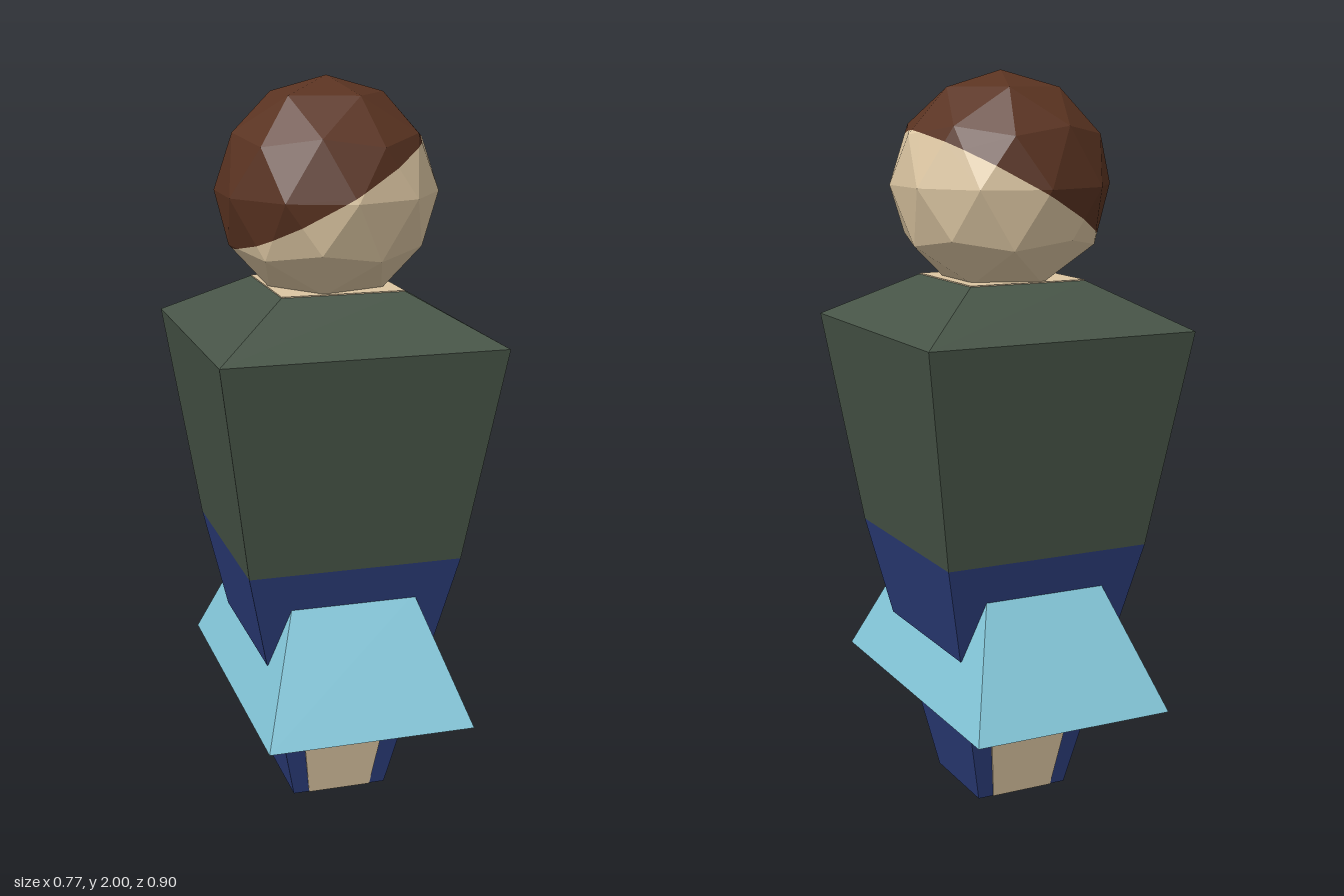
import * as THREE from 'three';

const mat = (name, color) => {
  const m = new THREE.MeshStandardMaterial({ color });
  m.name = name;
  return m;
};

// Flat-shaded geometry from a list of Vector3 triangle corners
function facets(points) {
  const g = new THREE.BufferGeometry().setFromPoints(points);
  g.computeVertexNormals();
  return g;
}

// Square-cornered loft through sections [y, halfX, halfZ], listed bottom to top
function loft(sections) {
  const rings = sections.map(([y, hx, hz]) =>
    [[1, 1], [1, -1], [-1, -1], [-1, 1]].map(([sx, sz]) => new THREE.Vector3(sx * hx, y, sz * hz)));
  const points = [];
  const quad = (a, b, c, d) => points.push(a, b, c, a, c, d);
  for (let i = 0; i < rings.length - 1; i++) {
    const lo = rings[i], hi = rings[i + 1];
    for (let k = 0; k < 4; k++) {
      const n = (k + 1) % 4;
      quad(lo[k], lo[n], hi[n], hi[k]);
    }
  }
  quad(...rings[rings.length - 1]);
  quad(...[...rings[0]].reverse());
  return facets(points);
}

// The part of a faceted shape on the positive side of a plane
function clip(geometry, plane) {
  const pos = geometry.getAttribute('position');
  const points = [];
  for (let i = 0; i < pos.count; i += 3) {
    const tri = [0, 1, 2].map((k) => new THREE.Vector3().fromBufferAttribute(pos, i + k));
    const kept = [];
    tri.forEach((a, k) => {
      const b = tri[(k + 1) % 3];
      const da = plane.distanceToPoint(a), db = plane.distanceToPoint(b);
      if (da >= 0) kept.push(a);
      if (da * db < 0) kept.push(a.clone().lerp(b, da / (da - db)));
    });
    for (let k = 1; k < kept.length - 1; k++) points.push(kept[0], kept[k], kept[k + 1]);
  }
  return facets(points);
}

export function createModel() {
  const skin = mat('skin', 0xdcc6a2);
  const hair = mat('brown hair', 0x5a3321);
  const green = mat('dark green cloth', 0x475447);
  const navy = mat('navy cloth', 0x2b3c79);
  const sky = mat('light blue cloth', 0x86cadd);

  const model = new THREE.Group();
  model.name = 'figure';
  const add = (name, geometry, material, y = 0) => {
    const mesh = new THREE.Mesh(geometry, material);
    mesh.name = name;
    mesh.position.y = y;
    model.add(mesh);
  };

  // Legs, with a skin-coloured strip from front to back
  add('legs', loft([[0, 0.135, 0.135], [0.32, 0.203, 0.203]]), navy);
  add('legStrip', loft([[-0.002, 0.09, 0.138], [0.28, 0.128, 0.202]]), skin, 0.002);

  // Flared skirt
  add('skirt', loft([[0.3, 0.285, 0.452], [0.63, 0.172, 0.267]]), sky);

  // Hips, jacket and the neck opening
  add('hips', loft([[0.455, 0.235, 0.235], [0.73, 0.295, 0.295]]), navy);
  add('jacket', loft([[0.73, 0.295, 0.295], [1.325, 0.384, 0.384], [1.448, 0.17, 0.17]]), green);
  add('neck', loft([[1.446, 0.168, 0.168], [1.451, 0.168, 0.168]]), skin);

  // Faceted head, pole upwards, split by a slanted hairline
  const ball = new THREE.IcosahedronGeometry(0.3, 1);
  ball.rotateX(-Math.atan((1 + Math.sqrt(5)) / 2));
  ball.rotateY(Math.PI / 2);
  const hairline = new THREE.Plane(new THREE.Vector3(-0.49, 0.87, -0.05).normalize(), 0);
  add('hair', clip(ball, hairline), hair, 1.7);
  add('face', clip(ball, hairline.clone().negate()), skin, 1.7);

  return model;
}
